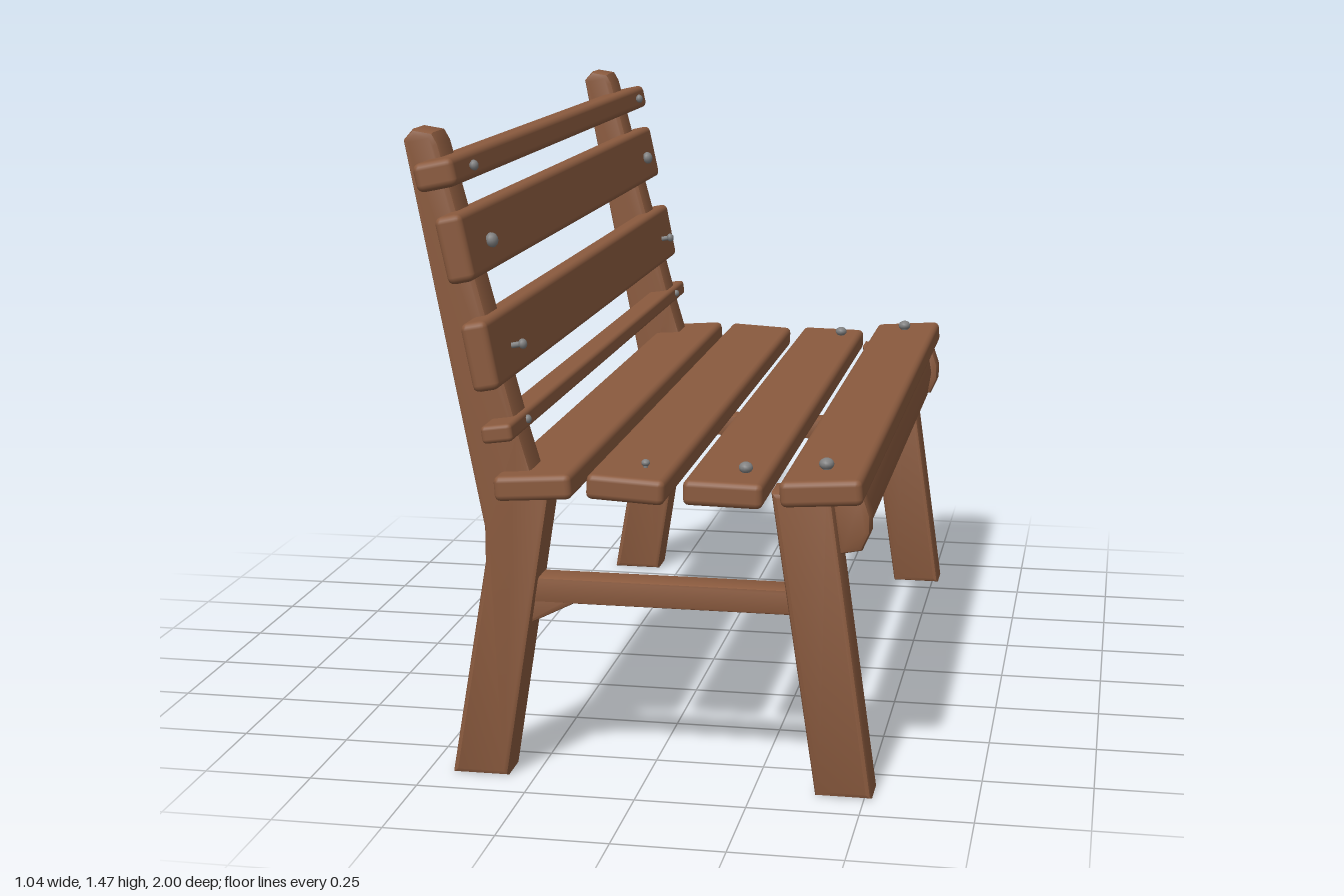
import * as THREE from 'three';
import { toCreasedNormals } from 'three/addons/utils/BufferGeometryUtils.js';
import { RoundedBoxGeometry } from 'three/addons/geometries/RoundedBoxGeometry.js';

export function createModel() {
  const bench = new THREE.Group();
  bench.name = 'bench';
  const wood = new THREE.MeshStandardMaterial({ color: 0x8a5a3e });
  wood.name = 'brown wood';
  const steel = new THREE.MeshStandardMaterial({ color: 0x808080 });
  steel.name = 'grey steel';

  const add = (name, geometry, material, parent = bench) => {
    const mesh = new THREE.Mesh(geometry, material);
    mesh.name = name;
    parent.add(mesh);
    return mesh;
  };

  // Side profile (x, y) extruded along z with softened edges
  const beam = (name, points, zCentre, width, bevel = 0.012) => {
    const shape = new THREE.Shape(points.map(([x, y]) => new THREE.Vector2(x, y)));
    const geometry = new THREE.ExtrudeGeometry(shape, {
      depth: width - 2 * bevel, bevelThickness: bevel, bevelSize: bevel,
      bevelOffset: -bevel, bevelSegments: 2,
    });
    geometry.translate(0, 0, zCentre - width / 2 + bevel);
    return add(name, toCreasedNormals(geometry, 0.6), wood);
  };

  // Rounded plank running along z, tilted about z
  const plank = (name, x, y, w, h, length, degrees, z = 0) => {
    const mesh = add(name, new RoundedBoxGeometry(w, h, length, 2, Math.min(w, h) * 0.25), wood);
    mesh.position.set(x, y, z);
    mesh.rotation.z = THREE.MathUtils.degToRad(degrees);
    return mesh;
  };

  // Domed bolt with its stem, pointing along local y
  const bolt = (name, x, y, z, radius, degrees) => {
    const group = new THREE.Group();
    group.name = name;
    const head = add('boltHead', new THREE.SphereGeometry(radius, 12, 8), steel, group);
    head.scale.y = 0.8;
    const stem = add('boltStem', new THREE.CylinderGeometry(radius * 0.55, radius * 0.55, 0.04, 8), steel, group);
    stem.position.y = -0.02;
    group.position.set(x, y, z);
    group.rotation.z = THREE.MathUtils.degToRad(degrees);
    bench.add(group);
  };

  // Seat planks, back to front
  plank('seatPlank', -0.233, 0.689, 0.175, 0.057, 1.925, 4);
  plank('seatPlank', -0.028, 0.691, 0.175, 0.057, 1.9, -3);
  plank('seatPlank', 0.187, 0.689, 0.176, 0.057, 1.895, -1);
  plank('seatPlank', 0.405, 0.707, 0.18, 0.058, 1.945, 4);

  // Back slats, top to bottom
  plank('backSlat', -0.428, 1.375, 0.092, 0.063, 1.99, 12);
  plank('backSlat', -0.386, 1.217, 0.062, 0.148, 2, 12);
  plank('backSlat', -0.335, 0.985, 0.06, 0.153, 2, 11);
  plank('backSlat', -0.302, 0.815, 0.07, 0.04, 1.985, 8);

  // Aprons under the seat
  beam('frontApron', [[0.40, 0.55], [0.475, 0.553], [0.486, 0.62], [0.475, 0.685], [0.385, 0.685]], 0, 1.68);
  plank('rearApron', -0.308, 0.608, 0.06, 0.115, 1.68, 0);

  for (const side of [-1, 1]) {
    const z = side * 0.858;
    // Rear leg continuing into the leaning back post
    beam('rearLegAndPost', [
      [-0.442, 0], [-0.312, 0], [-0.206, 0.67], [-0.24, 0.69], [-0.27, 0.79],
      [-0.442, 1.435], [-0.455, 1.458], [-0.5, 1.465], [-0.522, 1.44], [-0.357, 0.58], [-0.357, 0.5],
    ], z, 0.105);
    beam('frontLeg', [[0.39, 0], [0.517, 0], [0.42, 0.69], [0.288, 0.69]], z, 0.105);
    // Rounded apron end
    beam('apronEnd', [
      [0.435, 0.55], [0.485, 0.56], [0.503, 0.6], [0.503, 0.64], [0.488, 0.685], [0.41, 0.685],
    ], side * 0.85, 0.066);
    // Stretcher with a wedge brace at the rear leg
    beam('legStretcher', [[-0.27, 0.41], [0.345, 0.41], [0.345, 0.468], [-0.27, 0.468]], z, 0.075, 0.008);
    beam('stretcherBrace', [[-0.29, 0.345], [-0.255, 0.362], [-0.155, 0.412], [-0.155, 0.43], [-0.27, 0.45]], z, 0.07, 0.006);

    // Bolts
    bolt('seatBolt', 0.222, 0.728, side * 0.84, 0.016, 0);
    bolt('seatBolt', 0.403, 0.748, side * 0.857, 0.017, 4);
    bolt('backBolt', -0.374, 1.385, side * 0.868, 0.012, -78);
    bolt('backBolt', -0.345, 1.218, side * 0.84, 0.017, -78);
    bolt('backBolt', -0.279, 0.988, side * 0.84, 0.012, -79);
    bolt('backBolt', -0.265, 0.822, side * 0.858, 0.01, -82);
  }
  bolt('seatBolt', -0.003, 0.729, 0.84, 0.01, 0);

  return bench;
}
